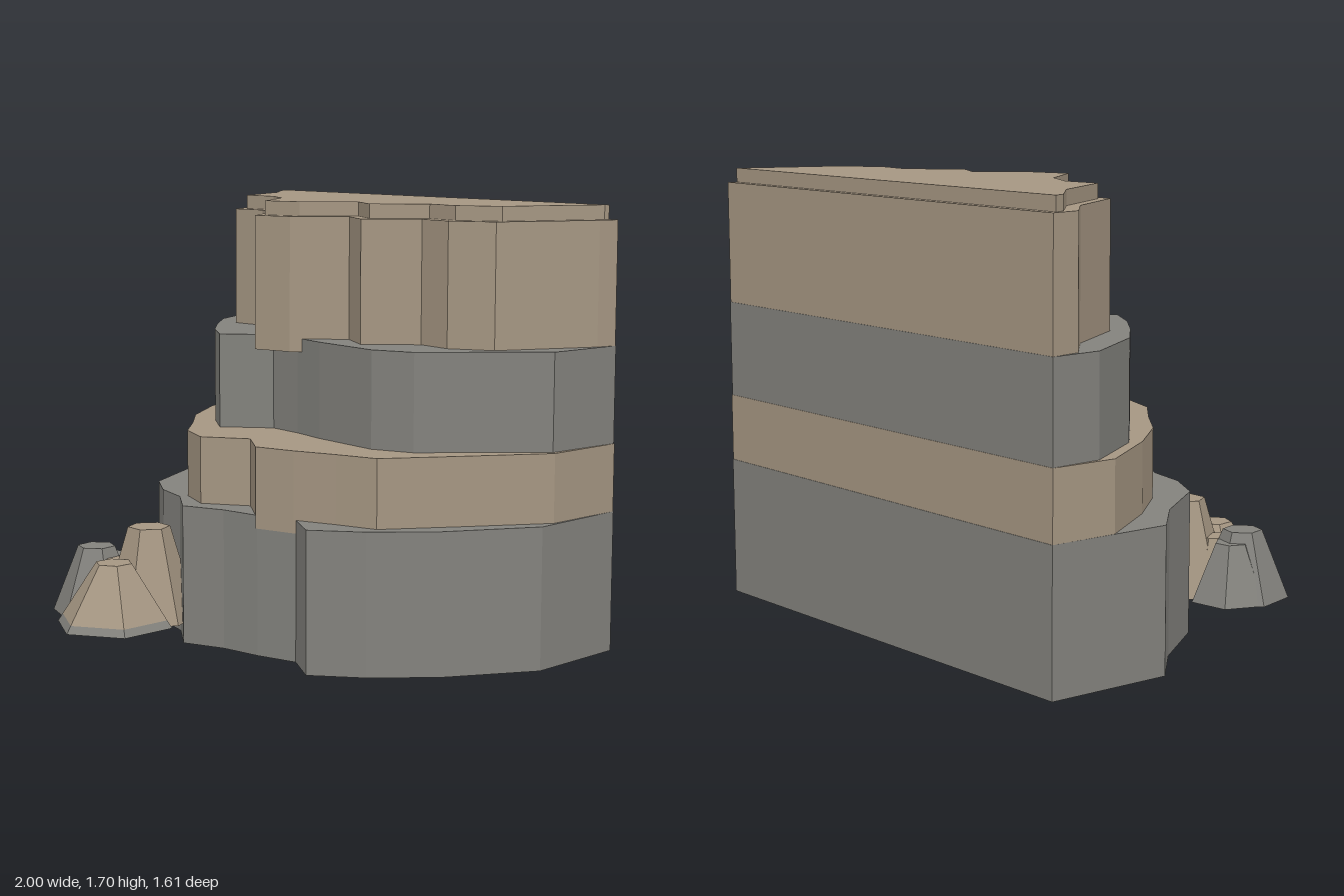
import * as THREE from 'three';

const sandstone = new THREE.MeshStandardMaterial({ color: 0xa59682 });
sandstone.name = 'sandstone';
const greyStone = new THREE.MeshStandardMaterial({ color: 0x83827d });
greyStone.name = 'grey stone';

// Cliff layer: evenly spaced front depths over the half width, straight back wall
function addLayer(parent, name, material, bottom, top, halfWidth, backHalf, back, depths) {
  const shape = new THREE.Shape();
  shape.moveTo(-backHalf, -back);
  depths.forEach((z, i) => shape.lineTo(halfWidth * (i / 6 - 1), -z));
  shape.lineTo(backHalf, -back);
  shape.closePath();
  const geometry = new THREE.ExtrudeGeometry(shape, { depth: top - bottom, bevelEnabled: false });
  geometry.rotateX(-Math.PI / 2);
  geometry.translate(0, bottom, 0);
  const mesh = new THREE.Mesh(geometry, material);
  mesh.name = name;
  parent.add(mesh);
}

// Six-sided tapered boulder
function addBoulder(parent, name, material, x, z, bottom, top, rBottom, rTop, turn) {
  const geometry = new THREE.CylinderGeometry(rTop, rBottom, top - bottom, 6).toNonIndexed();
  geometry.computeVertexNormals();
  const mesh = new THREE.Mesh(geometry, material);
  mesh.name = name;
  mesh.position.set(x, (bottom + top) / 2, z);
  mesh.rotation.y = turn;
  parent.add(mesh);
}

export function createModel() {
  const model = new THREE.Group();
  model.name = 'layeredCliff';

  // Stepped layers, each sunk slightly into the one below
  addLayer(model, 'baseLayer', greyStone, 0, 0.54, 1, 0.96, -0.81,
    [-0.32, -0.14, 0.13, 0.23, 0.27, 0.38, 0.31, 0.28, 0.23, 0.32, 0.175, -0.04, -0.385]);
  addLayer(model, 'lowerLayer', sandstone, 0.49, 0.8, 0.98, 0.96, -0.808,
    [-0.545, -0.26, -0.05, 0.085, 0.235, 0.295, 0.18, 0.285, 0.235, 0.17, 0.115, -0.17, -0.465]);
  addLayer(model, 'middleLayer', greyStone, 0.75, 1.17, 0.96, 0.958, -0.806,
    [-0.6, -0.31, -0.155, -0.02, 0.08, -0.065, -0.055, -0.03, -0.02, -0.01, -0.075, -0.28, -0.475]);
  const upper = [-0.68, -0.53, -0.245, -0.26, -0.18, 0.03, -0.015, -0.18, -0.1, -0.265, -0.25, -0.34, -0.72];
  addLayer(model, 'upperLayer', sandstone, 1.12, 1.64, 0.943, 0.957, -0.804, upper);
  addLayer(model, 'topCap', sandstone, 1.62, 1.695, 0.922, 0.938, -0.775, upper.map((z) => z - 0.048));

  // Fallen boulders at the front
  const boulders = new THREE.Group();
  boulders.name = 'boulders';
  addBoulder(boulders, 'frontBoulderFoot', greyStone, -0.365, 0.565, 0.065, 0.095, 0.236, 0.216, 0.08);
  addBoulder(boulders, 'frontBoulder', sandstone, -0.365, 0.565, 0.095, 0.31, 0.216, 0.073, 0.08);
  addBoulder(boulders, 'tallBoulder', sandstone, -0.375, 0.39, 0.065, 0.43, 0.19, 0.083, 0.52);
  addBoulder(boulders, 'sideBoulder', greyStone, -0.6, 0.485, 0.065, 0.33, 0.18, 0.075, 0.21);
  addBoulder(boulders, 'rearBoulder', greyStone, -0.605, 0.42, 0.065, 0.29, 0.16, 0.065, 0.63);
  addBoulder(boulders, 'smallBoulder', sandstone, -0.49, 0.45, 0.065, 0.29, 0.12, 0.055, 0.3);
  model.add(boulders);

  return model;
}
